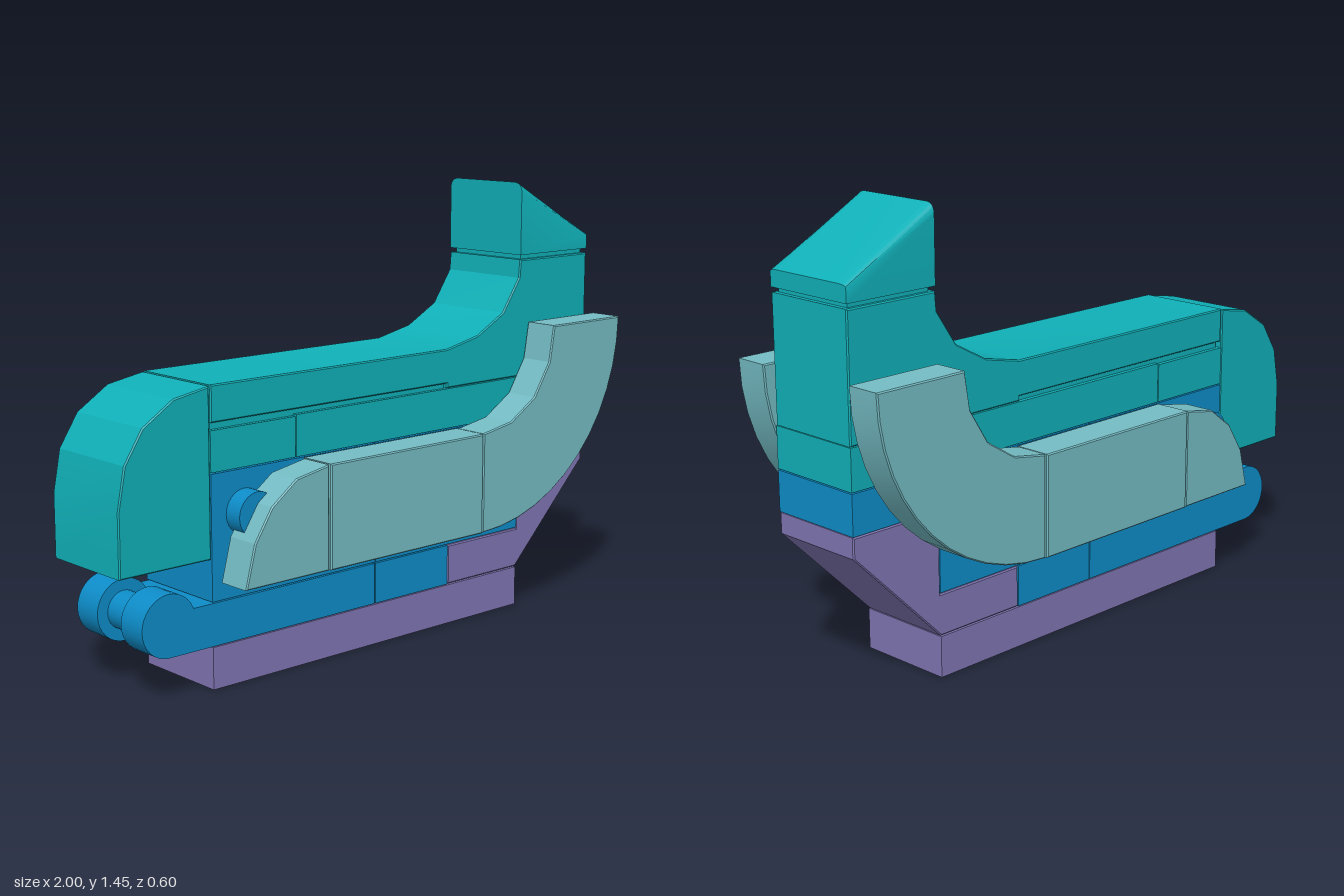
import * as THREE from 'three';
import { toCreasedNormals } from 'three/addons/utils/BufferGeometryUtils.js';

const mat = (color) => new THREE.MeshStandardMaterial({ color });

export function createModel() {
  const model = new THREE.Group();
  const teal = mat(0x10b0b8), blue = mat(0x0d8cc8), purple = mat(0x8075b3), pale = mat(0x74bcc4);
  const W = 0.165; // half width of the body

  const add = (name, geometry, material, x = 0, y = 0, z = 0) => {
    const mesh = new THREE.Mesh(geometry, material);
    mesh.name = name;
    mesh.position.set(x, y, z);
    model.add(mesh);
    return mesh;
  };
  const box = (name, material, x0, x1, y0, y1, z0 = -W, z1 = W) =>
    add(name, new THREE.BoxGeometry(x1 - x0, y1 - y0, z1 - z0), material,
      (x0 + x1) / 2, (y0 + y1) / 2, (z0 + z1) / 2);
  // side outline extruded across z, with a hairline bevel
  const slab = (name, material, points, z0 = -W, z1 = W) => {
    const shape = new THREE.Shape(points.map(([x, y]) => new THREE.Vector2(x, y)));
    const b = 0.004;
    const geo = new THREE.ExtrudeGeometry(shape, {
      depth: z1 - z0 - 2 * b, bevelEnabled: true, bevelThickness: b, bevelSize: b, bevelOffset: -b, bevelSegments: 1,
    });
    return add(name, toCreasedNormals(geo, 0.3), material, 0, 0, z0 + b);
  };
  const rod = (name, material, r, x, y, z0, z1) => {
    const geo = new THREE.CylinderGeometry(r, r, z1 - z0, 32).rotateX(Math.PI / 2);
    return add(name, geo, material, x, y, (z0 + z1) / 2);
  };

  // hollow base plate with three pegs underneath
  const t = 0.05;
  box('baseTop', purple, -0.67, 0.64, 0.09, 0.132);
  for (const s of [-1, 1]) {
    const zs = [s * W, s * (W - t)].sort((a, b) => a - b);
    box('baseLongWall', purple, -0.67, 0.64, 0, 0.09, zs[0], zs[1]);
  }
  box('baseEndWall', purple, -0.67, -0.67 + t, 0, 0.09, -W + t, W - t);
  box('baseEndWall', purple, 0.64 - t, 0.64, 0, 0.09, -W + t, W - t);
  for (const x of [-0.342, -0.015, 0.312])
    add('basePeg', new THREE.CylinderGeometry(0.052, 0.052, 0.09, 24), purple, x, 0.047, 0);

  // inverted slope under the tail
  slab('tailSlope', purple, [[0.312, 0.135], [0.64, 0.135], [0.97, 0.465], [0.97, 0.53],
    [0.64, 0.53], [0.64, 0.268], [0.312, 0.268]]);

  // lower jaw with its hinge knuckles
  box('jawPlate', blue, -0.74, -0.017, 0.135, 0.268);
  box('lowerPlate', blue, -0.013, 0.31, 0.135, 0.268);
  for (const s of [-1, 1]) {
    const zs = [s * W, s * 0.06].sort((a, b) => a - b);
    rod('jawKnuckle', blue, 0.097, -0.83, 0.232, zs[0], zs[1]);
    box('jawArm', blue, -0.83, -0.74, 0.135, 0.268, zs[0], zs[1]);
  }
  rod('jawPin', blue, 0.06, -0.83, 0.232, -0.06, 0.06);

  // core bricks and eye pegs
  box('coreBrickFront', blue, -0.67, -0.017, 0.272, 0.66);
  box('coreBrickRear', blue, -0.013, 0.64, 0.272, 0.66);
  box('tailPlate', blue, 0.64, 0.97, 0.532, 0.66);
  rod('eyePeg', blue, 0.07, -0.545, 0.53, -0.235, 0.228);

  // upper body
  box('middlePlateFront', teal, -0.67, -0.346, 0.664, 0.79);
  box('middlePlateRear', teal, -0.342, 0.97, 0.664, 0.795);
  box('grooveFiller', teal, -0.66, 0.3, 0.788, 0.812, -0.15, 0.15);
  slab('backAndTail', teal, [[-0.668, 0.812], [0.3, 0.812], [0.3, 0.797], [0.97, 0.797], [0.97, 1.19],
    [0.64, 1.19], [0.635, 1.13], [0.56, 1.02], [0.44, 0.955], [0.3, 0.925], [-0.668, 0.925]]);
  slab('head', teal, [[-1, 0.402], [-0.672, 0.402], [-0.672, 0.922], [-0.8, 0.9], [-0.91, 0.83],
    [-0.975, 0.73], [-1, 0.6]]);

  // tail tip: rounded end outline, lowered towards the rear
  box('tailGroove', teal, 0.655, 0.955, 1.185, 1.21, -0.15, 0.15);
  const y0 = 1.205, y1 = 1.445, r = 0.035;
  const end = new THREE.Shape();
  end.moveTo(-W, y0);
  end.lineTo(W, y0);
  end.lineTo(W, y1 - r);
  end.quadraticCurveTo(W, y1, W - r, y1);
  end.lineTo(-W + r, y1);
  end.quadraticCurveTo(-W, y1, -W, y1 - r);
  end.closePath();
  const tip = new THREE.ExtrudeGeometry(end, { depth: 0.33, bevelEnabled: false, curveSegments: 6 });
  const p = tip.attributes.position;
  for (let i = 0; i < p.count; i++)
    p.setY(i, y0 + (p.getY(i) - y0) * (1 - 0.78 * p.getZ(i) / 0.33));
  tip.rotateY(Math.PI / 2);
  add('tailTip', toCreasedNormals(tip, 0.5), teal, 0.64, 0, 0);

  // side fins, each in three pieces
  const nose = [[-0.645, 0.33], [-0.322, 0.33], [-0.322, 0.658], [-0.45, 0.635], [-0.545, 0.565], [-0.61, 0.465]];
  const middle = [[-0.318, 0.33], [0.338, 0.33], [0.338, 0.66], [-0.318, 0.66]];
  const sweep = [[0.342, 0.33]];
  for (let i = 1; i <= 12; i++) {
    const a = (i / 12) * Math.PI / 2;
    sweep.push([0.342 + 0.658 * Math.sin(a), 0.98 - 0.65 * Math.cos(a)]);
  }
  sweep.push([0.67, 0.98], [0.65, 0.86], [0.58, 0.75], [0.47, 0.682], [0.342, 0.66]);
  for (const s of [1, -1]) {
    const shift = (pts) => pts.map(([x, y]) => [x + (s < 0 ? -0.02 : 0), y]);
    const span = (a, b) => (s > 0 ? [a, b] : [-b, -a]);
    slab('finNose', pale, shift(nose), ...span(0.175, 0.294));
    slab('finMiddle', pale, shift(middle), ...span(0.168, 0.298));
    slab('finSweep', pale, shift(sweep), ...span(0.175, 0.294));
  }
  return model;
}
